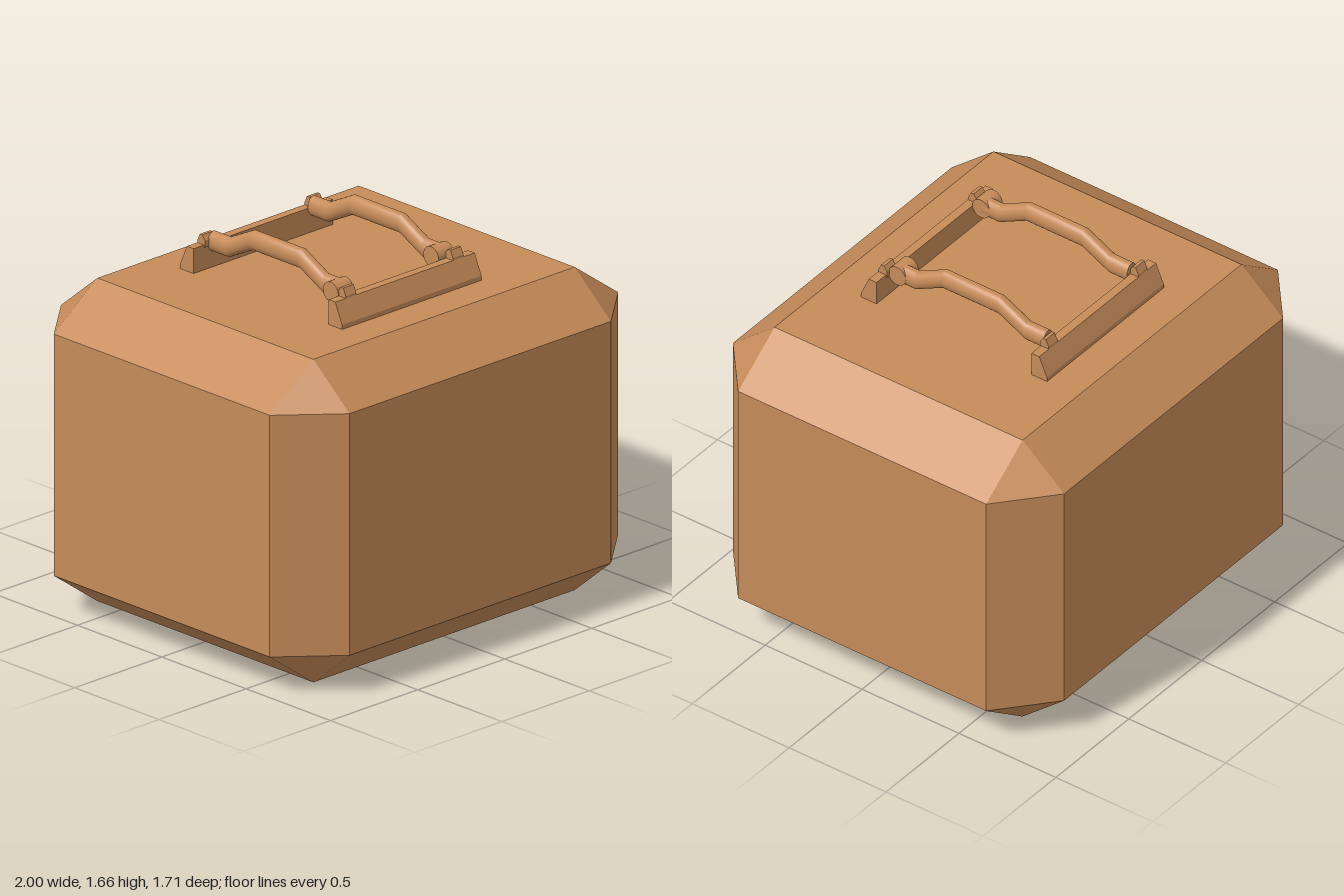
import * as THREE from 'three';
import { ConvexGeometry } from 'three/addons/geometries/ConvexGeometry.js';
import { toCreasedNormals } from 'three/addons/utils/BufferGeometryUtils.js';

const material = new THREE.MeshStandardMaterial({ color: 0xc68b59 });

function addMesh(parent, geometry, name, x = 0, y = 0, z = 0) {
  const mesh = new THREE.Mesh(geometry, material);
  mesh.name = name;
  mesh.position.set(x, y, z);
  parent.add(mesh);
  return mesh;
}

// Box with every edge and corner chamfered
function bodyGeometry() {
  const points = [];
  for (const sx of [-1, 1]) for (const sz of [-1, 1]) {
    for (const [yEnd, ySide] of [[0, 0.18], [1.43, 1.25]]) {
      points.push(
        new THREE.Vector3(0.75 * sx, yEnd, 0.64 * sz),
        new THREE.Vector3(1 * sx, ySide, 0.64 * sz),
        new THREE.Vector3(0.75 * sx, ySide, 0.855 * sz));
    }
  }
  return new ConvexGeometry(points);
}

// Extrudes a (z, y) profile along x, centred on x = 0
function profileBar(profile, width) {
  const shape = new THREE.Shape(profile.map(([z, y]) => new THREE.Vector2(z, y)));
  return new THREE.ExtrudeGeometry(shape, { depth: width, bevelEnabled: false })
    .translate(0, 0, -width / 2)
    .rotateY(-Math.PI / 2);
}

// Oval bar whose rings follow a raised path from back to front
function handleGeometry() {
  const path = [[-0.40, 1.545], [-0.30, 1.545], [-0.16, 1.616], [0.13, 1.616], [0.27, 1.545], [0.355, 1.545]];
  const steps = path.length - 1;
  const geometry = new THREE.CylinderGeometry(1, 1, steps, 24, steps).rotateX(Math.PI / 2);
  const position = geometry.attributes.position;
  for (let i = 0; i < position.count; i++) {
    const [z, y] = path[Math.round(position.getZ(i) + steps / 2)];
    position.setXYZ(i, position.getX(i) * 0.032, y + position.getY(i) * 0.044, z);
  }
  return toCreasedNormals(geometry, 0.4);
}

export function createModel() {
  const model = new THREE.Group();
  model.name = 'carryCase';
  addMesh(model, bodyGeometry(), 'body');

  // Sloped rails along the front and back of the lid
  const rail = profileBar([[0.40, 1.42], [0.48, 1.42], [0.48, 1.45], [0.44, 1.54], [0.40, 1.54]], 0.8);
  const lug = profileBar([[0.395, 1.53], [0.44, 1.53], [0.44, 1.55], [0.425, 1.582], [0.41, 1.582], [0.395, 1.56]], 0.06);
  for (const [side, turn] of [['front', 0], ['back', Math.PI]]) {
    addMesh(model, rail, side + 'Rail', -0.03).rotation.y = turn;
    for (const x of [-0.34, 0.275]) addMesh(model, lug, side + 'Lug', x).rotation.y = turn;
  }

  // Two handles, each with a pivot knob at the front end
  const handle = handleGeometry();
  const knob = new THREE.CylinderGeometry(0.045, 0.045, 0.088, 24).rotateZ(Math.PI / 2);
  for (const [x, knobX] of [[-0.316, -0.33], [0.257, 0.245]]) {
    addMesh(model, handle, 'handle', x);
    addMesh(model, knob, 'pivotKnob', knobX, 1.545, 0.355);
  }
  return model;
}
